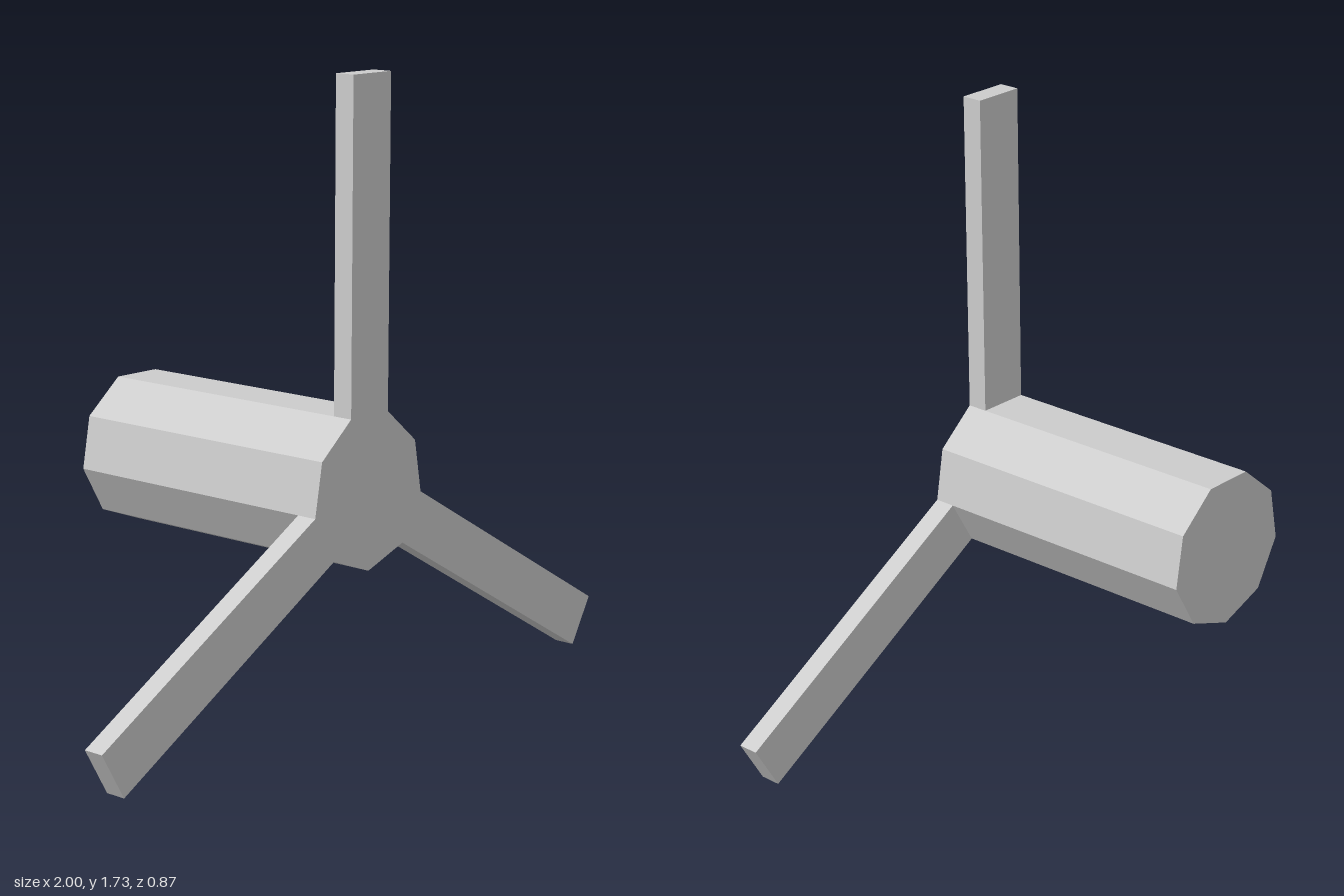
import * as THREE from 'three';

const SIDES = 9;
const RADIUS = 0.219;      // hub corner radius
const REACH = 1.1114;      // hub axis to blade tip
const AXIS_HEIGHT = 0.6207;
const DEPTH = 0.87;        // hub length along z
const BLADE_DEPTH = 0.06;

export function createModel() {
  const model = new THREE.Group();
  model.name = 'rotor';
  const grey = new THREE.MeshStandardMaterial({ color: 0xcccccc });
  grey.name = 'light grey';

  // Nine-sided hub lying along z, one corner pointing down, with faceted normals
  const hubGeometry = new THREE.CylinderGeometry(RADIUS, RADIUS, DEPTH, SIDES)
    .rotateX(Math.PI / 2)
    .toNonIndexed();
  hubGeometry.computeVertexNormals();
  const hub = new THREE.Mesh(hubGeometry, grey);
  hub.name = 'hub';
  hub.position.y = AXIS_HEIGHT;
  model.add(hub);

  // Three flat blades, each as wide as the hub facet it grows from
  const root = RADIUS * Math.cos(Math.PI / SIDES);
  const width = 2 * RADIUS * Math.sin(Math.PI / SIDES);
  const bladeGeometry = new THREE.BoxGeometry(width, REACH - root, BLADE_DEPTH)
    .translate(0, (REACH + root) / 2, (DEPTH - BLADE_DEPTH) / 2);
  ['topBlade', 'rightBlade', 'leftBlade'].forEach((name, i) => {
    const blade = new THREE.Mesh(bladeGeometry, grey);
    blade.name = name;
    blade.position.y = AXIS_HEIGHT;
    blade.rotation.z = (i * Math.PI * 2) / 3;
    model.add(blade);
  });

  return model;
}
